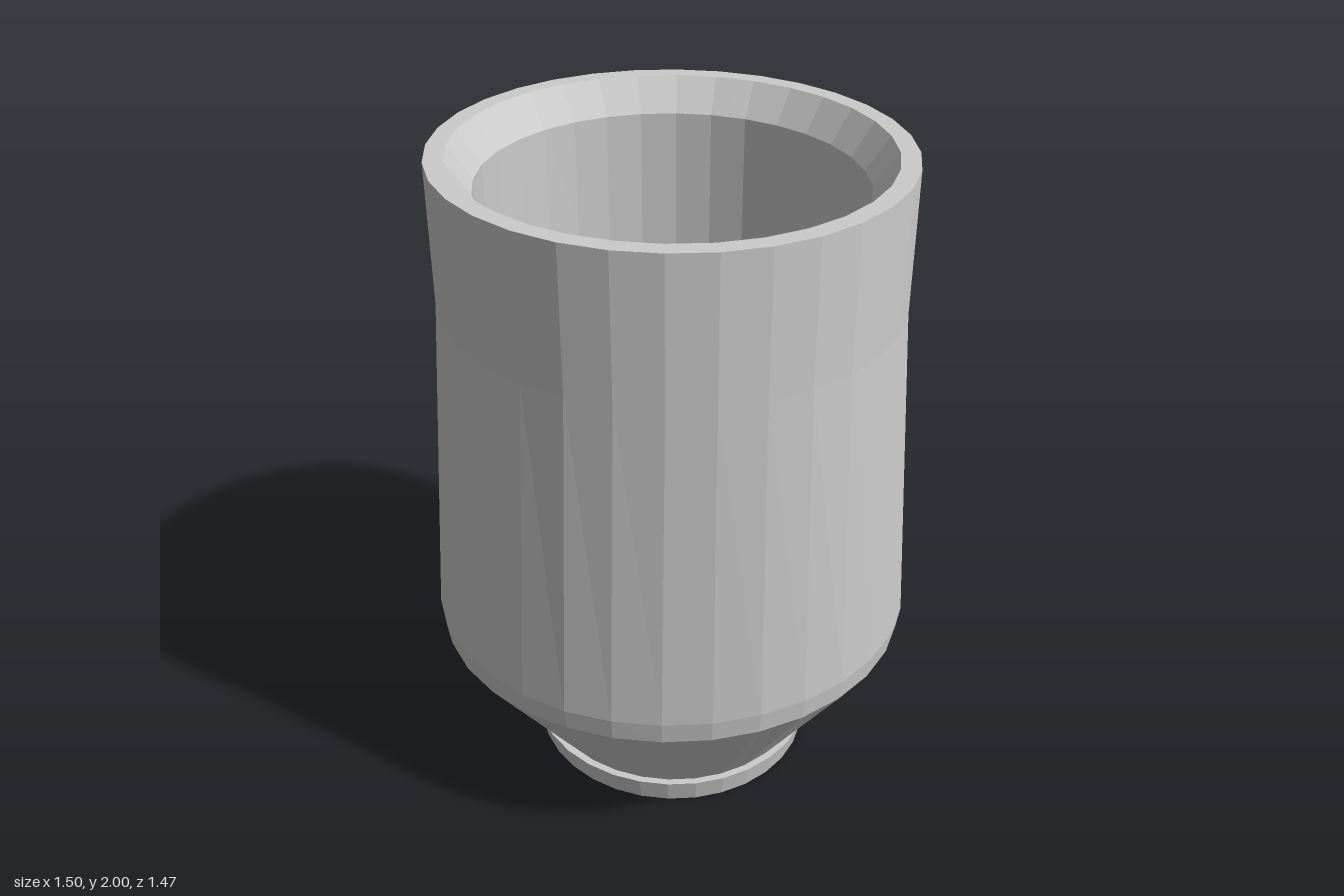
import * as THREE from 'three';

const SIDES = 32;
const material = new THREE.MeshStandardMaterial({ color: 0xcccccc, flatShading: true });

// Lofts a part through elliptical rings, each given as [y, half width, half depth]
function loft(name, rings) {
  const profile = rings.map(([y, rx]) => new THREE.Vector2(rx, y));
  const lathe = new THREE.LatheGeometry(profile, SIDES);
  const pos = lathe.attributes.position;
  for (let i = 0; i < pos.count; i++) {
    const [, rx, rz] = rings[i % rings.length];
    if (rx > 0) pos.setZ(i, pos.getZ(i) * rz / rx);
  }
  const geometry = lathe.toNonIndexed();
  geometry.computeVertexNormals();
  const mesh = new THREE.Mesh(geometry, material);
  mesh.name = name;
  return mesh;
}

export function createModel() {
  const cup = new THREE.Group();
  cup.name = 'cup';

  // Foot: closed base flaring up to a small ledge
  cup.add(loft('foot', [
    [0, 0, 0], [0, 0.443, 0.47], [0.075, 0.46, 0.486], [0.075, 0.435, 0.463],
  ]));

  // Outer wall: sloped bowl, rounded shoulder, tall side narrowing in width only
  cup.add(loft('outerWall', [
    [0.075, 0.435, 0.463], [0.46, 0.74, 0.725], [0.53, 0.751, 0.734],
    [1.57, 0.689, 0.734], [2, 0.694, 0.734],
  ]));

  // Rim: flat top and bevelled inner lip
  cup.add(loft('rim', [
    [2, 0.694, 0.734], [2, 0.637, 0.675], [1.9, 0.565, 0.6],
  ]));

  // Cavity: inner side, sloped bottom and flat floor
  cup.add(loft('cavity', [
    [1.9, 0.565, 0.6], [1.57, 0.562, 0.6], [0.53, 0.565, 0.598],
    [0.45, 0.54, 0.56], [0.18, 0.342, 0.36], [0.18, 0, 0],
  ]));

  return cup;
}
